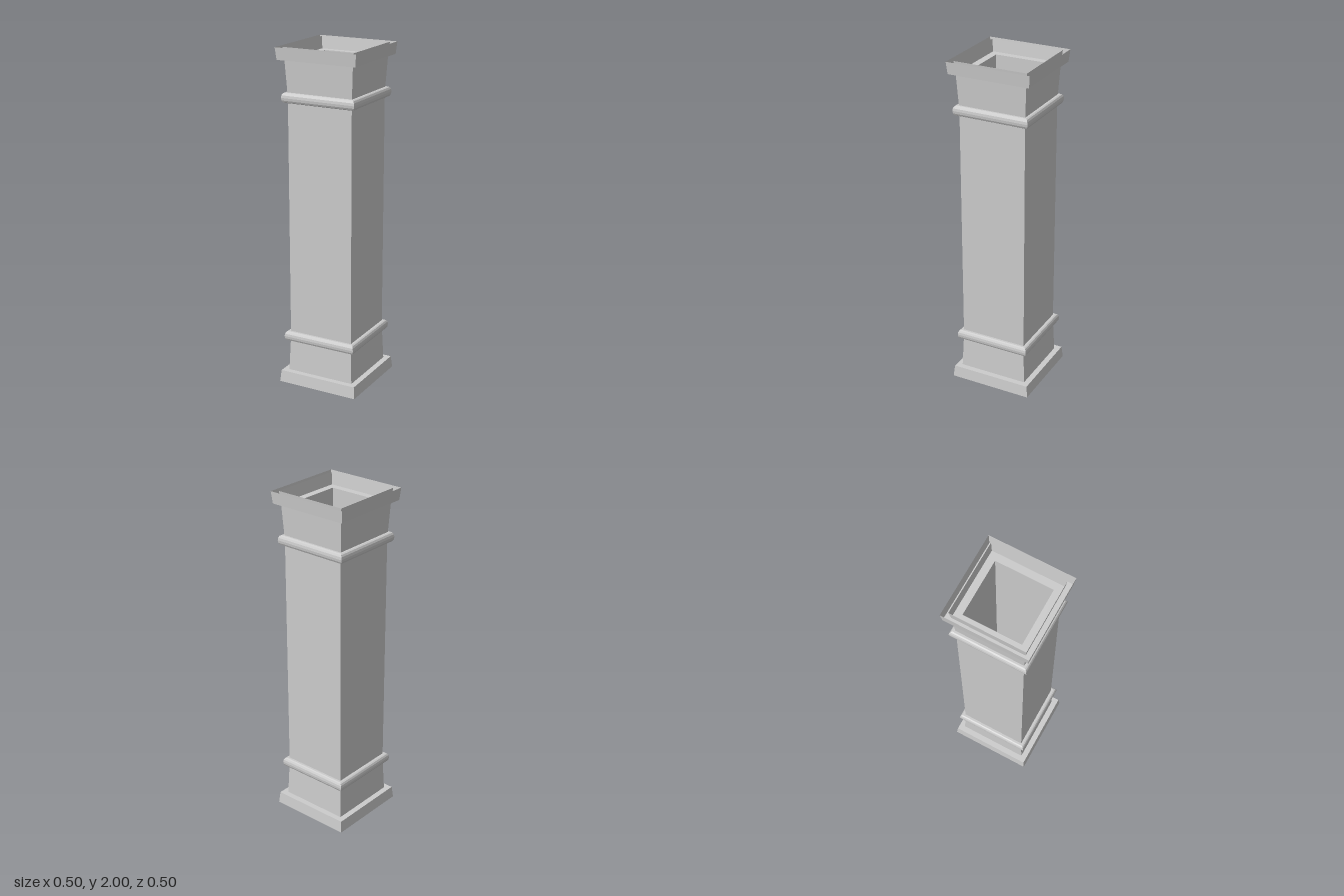
import * as THREE from 'three';

const material = new THREE.MeshStandardMaterial({
  color: 0xcccccc, flatShading: true, side: THREE.DoubleSide,
});

// Sweeps a profile of [halfWidth, y] points around a square plan with mitred corners.
function squareSweep(name, profile) {
  const points = profile.map(([half, y]) => new THREE.Vector2(half * Math.SQRT2, y));
  const geometry = new THREE.LatheGeometry(points, 4, Math.PI / 4).toNonIndexed();
  geometry.computeVertexNormals();
  const mesh = new THREE.Mesh(geometry, material);
  mesh.name = name;
  return mesh;
}

// Half-round moulding with its centre at height y.
function moulding(name, y) {
  const rx = 0.015, ry = 0.029, profile = [[0.195, y - ry]];
  for (let i = 0; i <= 6; i++) {
    const a = -Math.PI / 2 + (i / 6) * Math.PI;
    profile.push([0.213 + rx * Math.cos(a), y + ry * Math.sin(a)]);
  }
  profile.push([0.195, y + ry]);
  return squareSweep(name, profile);
}

export function createModel() {
  const column = new THREE.Group();
  column.name = 'column';

  // Hollow square shaft
  column.add(squareSweep('shaft', [[0.2, 0.288], [0.2, 1.718]]));
  column.add(squareSweep('shaftLining', [[0.169, 1.93], [0.169, 0.07]]));

  // Ends: y measured inward from each end, then flipped for the top
  const ends = [
    ['base', (d) => d, 0.288, 0.209],
    ['capital', (d) => 2 - d, 1.718, 0.212],
  ];
  for (const [name, at, ringY, neckHalf] of ends) {
    const end = new THREE.Group();
    end.name = name;
    const order = (profile) => (name === 'base' ? profile : profile.reverse());
    // Flared outer band and the ledge behind it
    end.add(squareSweep(name + 'Band', order([
      [0.25, at(0)], [0.243, at(0.07)], [0.169, at(0.07)],
    ])));
    // Thin inner lip
    end.add(squareSweep(name + 'InnerLip', order([[0.211, at(0.07)], [0.219, at(0)]])));
    // Tapered neck
    end.add(squareSweep(name + 'Neck', order([[neckHalf, at(0.07)], [0.2, ringY]])));
    end.add(moulding(name + 'Moulding', ringY));
    column.add(end);
  }
  return column;
}
